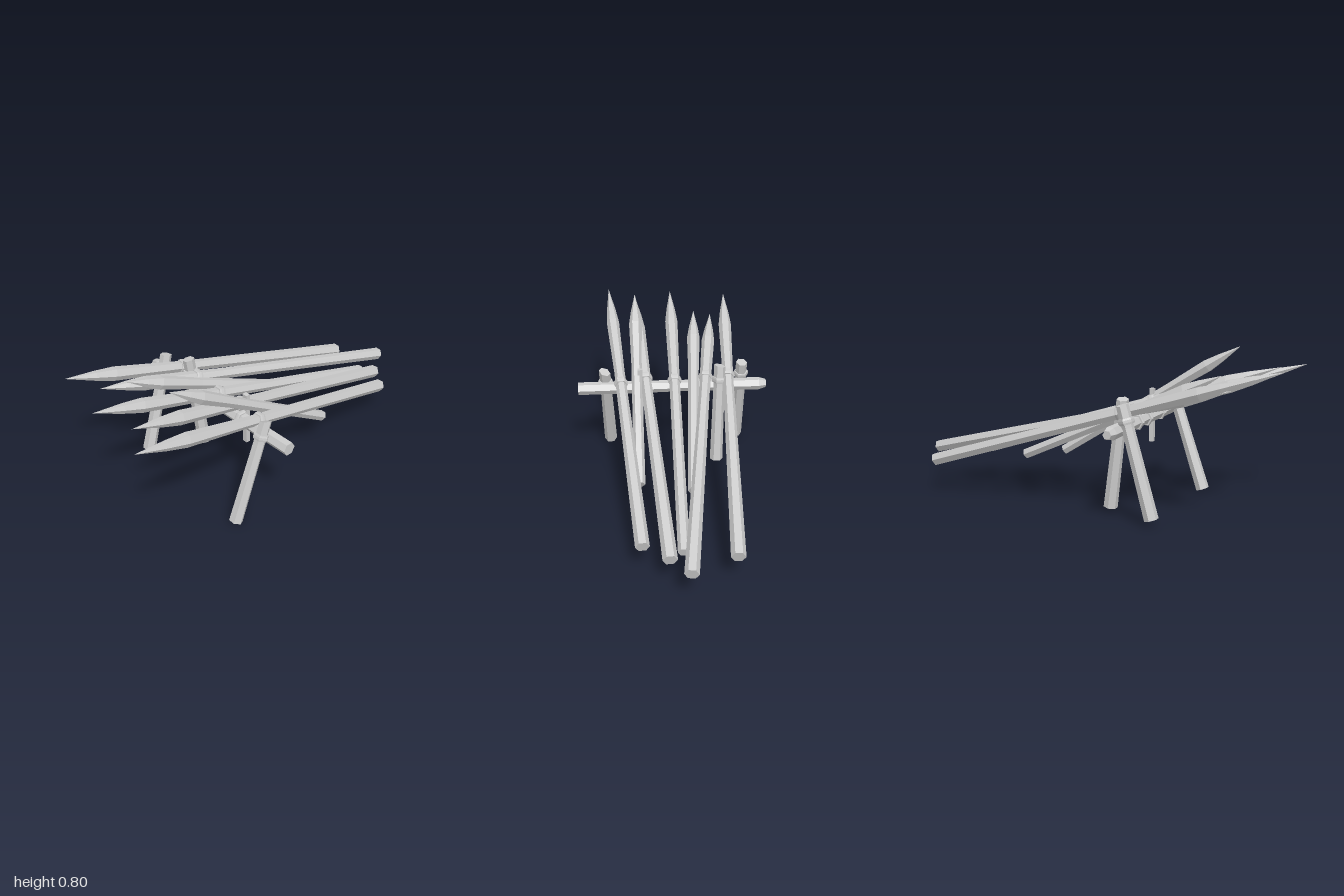
import * as THREE from 'three';

const material = new THREE.MeshStandardMaterial({ color: 0xcccccc, flatShading: true });
const V = (p) => new THREE.Vector3(...p);
const X = new THREE.Vector3(1, 0, 0);
const Z = new THREE.Vector3(0, 0, 1);

// Six-sided solid running from point a to b; profile(length) gives [radius, distance] pairs.
// Two of the six corners point along ref. cut slants the far end.
function stick(name, a, b, profile, ref = X, cut = 0) {
  const start = V(a);
  const dir = V(b).sub(start);
  const length = dir.length();
  dir.normalize();
  const points = profile(length).map(([r, d]) => new THREE.Vector2(r, d));
  let geometry = new THREE.LatheGeometry(points, 6);
  if (cut) {
    const pos = geometry.attributes.position;
    for (let i = 0; i < pos.count; i++) {
      if (pos.getY(i) > length - 0.001) pos.setY(i, pos.getY(i) + cut * pos.getZ(i));
    }
  }
  geometry = geometry.toNonIndexed();
  geometry.computeVertexNormals();
  const side = ref.clone().addScaledVector(dir, -ref.dot(dir)).normalize();
  const third = new THREE.Vector3().crossVectors(dir, side);
  const mesh = new THREE.Mesh(geometry, material);
  mesh.quaternion.setFromRotationMatrix(new THREE.Matrix4().makeBasis(third, dir, side));
  mesh.position.copy(start);
  mesh.name = name;
  return mesh;
}

// Rope band of radius r and width w around the line a-b, centred at fraction t
function binding(name, a, b, t, r, w, ref) {
  const mid = V(a).lerp(V(b), t);
  const half = V(b).sub(V(a)).normalize().multiplyScalar(w / 2);
  const from = mid.clone().sub(half).toArray();
  const to = mid.clone().add(half).toArray();
  return stick(name, from, to, (l) => [
    [r * 0.75, 0], [r * 0.94, 0], [r, l * 0.3], [r, l * 0.7], [r * 0.94, l], [r * 0.75, l],
  ], ref);
}

export function createModel() {
  const group = new THREE.Group();

  // Sharpened stakes: butt, tip, butt radius, point length, whether tied
  const stakes = [
    [[-0.22, 0.17, -0.865], [-0.34, 0.705, 0.885], 0.035, 0.27, true],
    [[0.0, 0.19, -0.99], [-0.25, 0.635, 0.757], 0.034, 0.24, true],
    [[-0.06, 0.21, -0.40], [-0.147, 0.69, 0.68], 0.029, 0.2, false],
    [[0.02, 0.165, -0.81], [-0.03, 0.705, 0.945], 0.028, 0.27, true],
    [[0.085, 0.165, -0.86], [0.18, 0.705, 0.885], 0.035, 0.28, true],
    [[0.2, 0.19, -0.30], [0.183, 0.80, 0.68], 0.028, 0.2, false],
    [[0.205, 0.17, -0.765], [0.33, 0.71, 0.985], 0.034, 0.3, true],
  ];
  for (const [butt, tip, r, point, tied] of stakes) {
    group.add(stick('stake', butt, tip, (l) => [
      [0, 0], [r, 0], [0.028, l * 0.62], [0.035, l - point], [0.024, l - point * 0.6], [0, l],
    ]));
    if (tied) {
      const t = (0.235 - butt[2]) / (tip[2] - butt[2]);
      group.add(binding('stakeBinding', butt, tip, t, 0.037, 0.035, X));
    }
  }

  // Cross rail with a chipped end
  const railA = [0.505, 0.442, 0.255];
  const railB = [-0.505, 0.44, 0.255];
  group.add(stick('rail', railA, railB, (l) => [
    [0, 0], [0.034, 0], [0.033, l * 0.35], [0.03, l * 0.6], [0.034, l - 0.04], [0.022, l], [0, l],
  ], Z));
  for (const x of [-0.14, -0.016, 0.177]) {
    group.add(binding('railBinding', railA, railB, (0.505 - x) / 1.01, 0.042, 0.026, Z));
  }

  // Leaning posts: foot, head, slant of the cut top
  const posts = [
    [[-0.375, 0.03, 0.425], [-0.373, 0.56, 0.275], 0.12],
    [[0.345, 0.01, 0.45], [0.361, 0.53, 0.27], 0.45],
    [[-0.235, 0.027, 0.16], [-0.25, 0.568, 0.228], 0.2],
  ];
  for (const [foot, head, cut] of posts) {
    group.add(stick('post', foot, head, (l) => [
      [0, 0], [0.035, 0], [0.03, l * 0.8], [0.031, l * 0.86], [0.03, l], [0, l],
    ], X, cut));
    group.add(binding('postBinding', foot, head, 0.86, 0.04, 0.03, X));
  }

  // Thin strip hanging behind the rail
  const strip = new THREE.Mesh(new THREE.BoxGeometry(0.027, 0.28, 0.022), material);
  strip.position.set(0.174, 0.425, 0.22);
  strip.name = 'hangingStrip';
  group.add(strip);

  return group;
}
